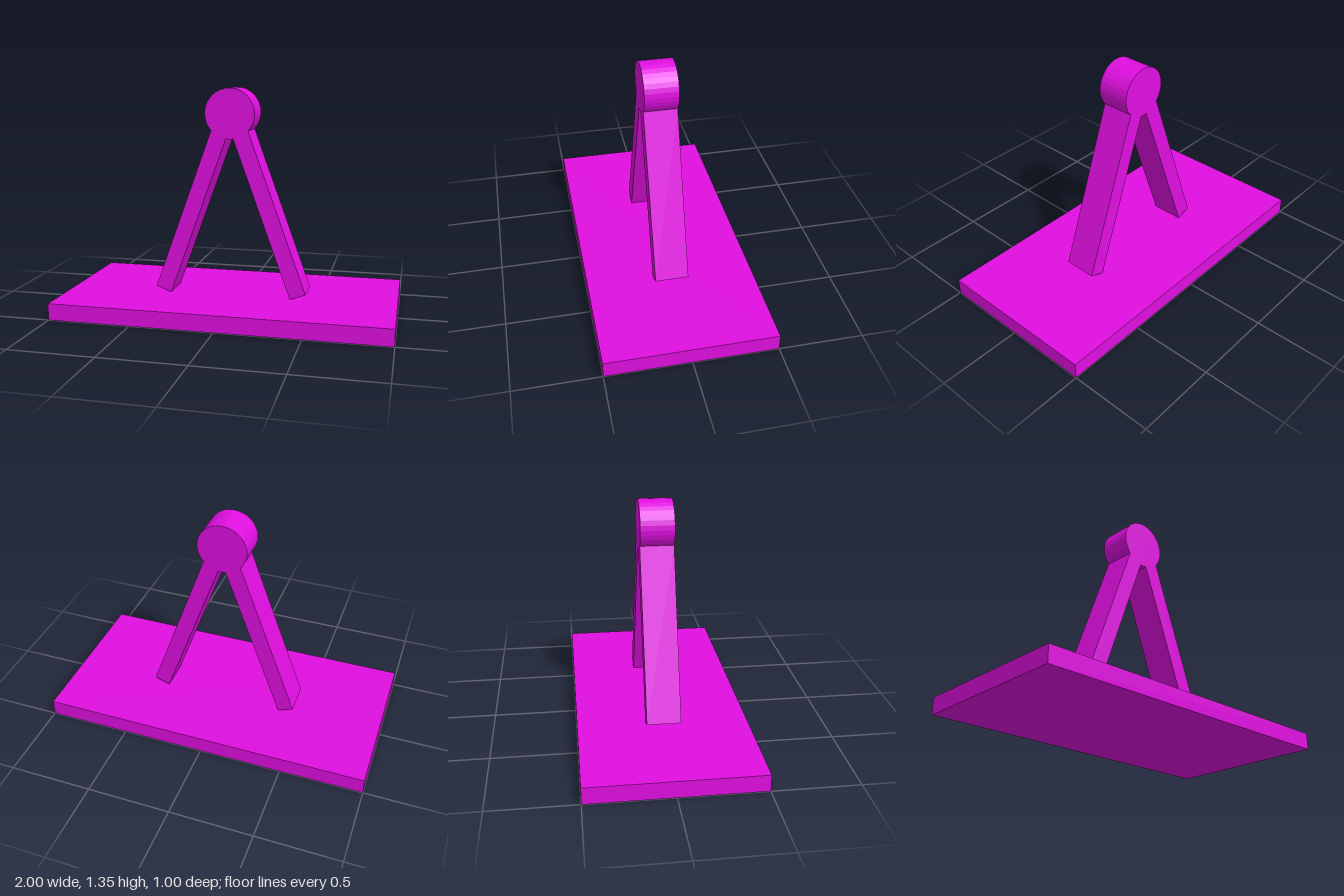
import * as THREE from 'three';

export function createModel() {
  const model = new THREE.Group();
  const magenta = new THREE.MeshStandardMaterial({ color: 0xe00fe0, flatShading: true });
  magenta.name = 'magenta';

  const add = (name, geometry, x, y) => {
    const mesh = new THREE.Mesh(geometry, magenta);
    mesh.name = name;
    mesh.position.set(x, y, 0);
    model.add(mesh);
    return mesh;
  };

  // Flat rectangular base
  add('base', new THREE.BoxGeometry(2, 0.1, 1), 0, 0.05);

  // Two legs leaning together into an A-frame
  const tilt = THREE.MathUtils.degToRad(20);
  for (const side of [-1, 1]) {
    const leg = add(side > 0 ? 'leftLeg' : 'rightLeg',
      new THREE.BoxGeometry(0.1, 1.03, 0.2), side * 0.24, 0.6);
    leg.rotation.z = side * tilt;
  }

  // Round pivot joining the legs, axis along z
  const pivot = new THREE.CylinderGeometry(0.15, 0.15, 0.2, 32).rotateX(Math.PI / 2);
  add('pivot', pivot, 0, 1.2);

  return model;
}
